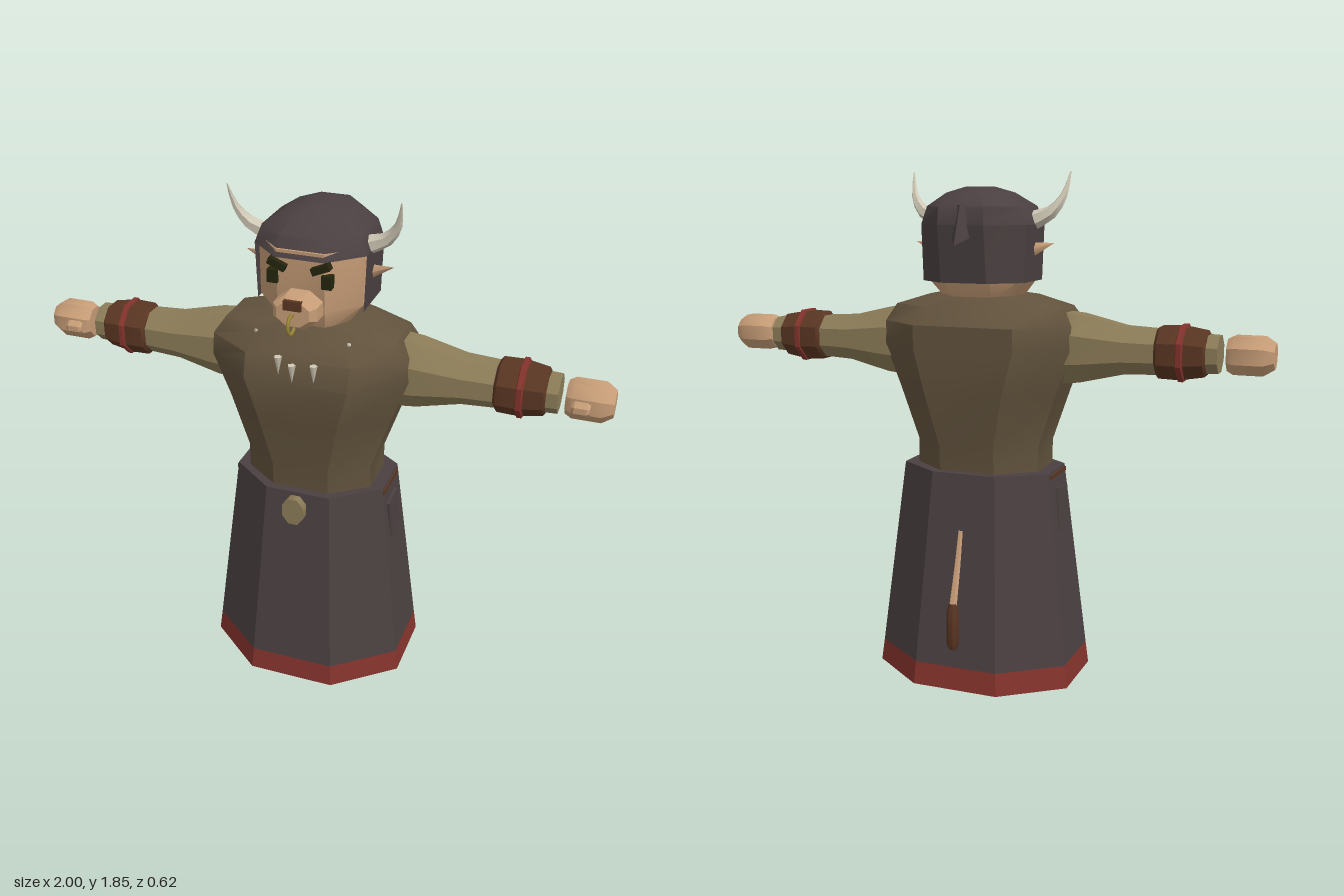
import * as THREE from 'three';
import { toCreasedNormals } from 'three/addons/utils/BufferGeometryUtils.js';

const mat = (name, color, side = THREE.FrontSide) => new THREE.MeshStandardMaterial({ name, color, side });

// Chamfered octagon at height y: half width, front z, back z, chamfer corners
const octagon = (y, hw, zf, zb, cx, cf, cb) => [
  [-cx, zf], [cx, zf], [hw, cf], [hw, cb], [cx, zb], [-cx, zb], [-hw, cb], [-hw, cf],
].map(([x, z]) => new THREE.Vector3(x, y, z));

// Regular ring of n points at height y
const ring = (y, rx, rz = rx, n = 8) => Array.from({ length: n }, (_, i) => {
  const a = ((i + 0.5) / n) * Math.PI * 2;
  return new THREE.Vector3(rx * Math.sin(a), y, rz * Math.cos(a));
});

// Skin a stack of rings; from/to limit the sides that are built
function loft(rings, { caps = true, from = 0, to = rings[0].length, crease = 0.6 } = {}) {
  const n = rings[0].length, p = [];
  const tri = (a, b, c) => p.push(...a.toArray(), ...b.toArray(), ...c.toArray());
  for (let k = 0; k < rings.length - 1; k++) {
    for (let i = from; i < to; i++) {
      const j = (i + 1) % n, r = rings[k], s = rings[k + 1];
      tri(r[i], r[j], s[j]);
      tri(r[i], s[j], s[i]);
    }
  }
  if (caps) {
    const lo = rings[0], hi = rings[rings.length - 1];
    for (let i = 1; i < n - 1; i++) {
      tri(lo[0], lo[i + 1], lo[i]);
      tri(hi[0], hi[i], hi[i + 1]);
    }
  }
  const g = new THREE.BufferGeometry();
  g.setAttribute('position', new THREE.Float32BufferAttribute(p, 3));
  g.computeVertexNormals();
  return toCreasedNormals(g, crease);
}

// Tapered tube along a curve
function taperedTube(points, radii, n = 6) {
  const curve = new THREE.CatmullRomCurve3(points.map((q) => new THREE.Vector3(...q)));
  const up = new THREE.Vector3(0, 1, 0), steps = 6;
  const rings = Array.from({ length: steps + 1 }, (_, k) => {
    const t = k / steps, r = THREE.MathUtils.lerp(radii[0], radii[1], t);
    const q = new THREE.Quaternion().setFromUnitVectors(up, curve.getTangent(t));
    return ring(0, r, r, n).map((v) => v.applyQuaternion(q).add(curve.getPoint(t)));
  });
  return loft(rings, { crease: 0.9 });
}

export function createModel() {
  const model = new THREE.Group();
  const cloth = mat('dark cloth', 0x4b4041, THREE.DoubleSide);
  const red = mat('red trim', 0x84332c, THREE.DoubleSide);
  const tunic = mat('brown tunic', 0x62533d);
  const sleeve = mat('khaki sleeve', 0x8c7c58);
  const skin = mat('tan skin', 0xc79d77);
  const leather = mat('brown leather', 0x5a3623);
  const ivory = mat('ivory', 0xcfc8b5);
  const dark = mat('dark olive', 0x25250f);
  const gold = mat('brass', 0x9a8638);

  const add = (parent, name, geo, material, pos = [0, 0, 0], rot = [0, 0, 0]) => {
    const m = new THREE.Mesh(geo, material);
    m.name = name;
    m.position.set(...pos);
    m.rotation.set(...rot);
    parent.add(m);
    return m;
  };

  // Robe skirt with red hem
  const hemTop = octagon(0.16, 0.35, 0.3, -0.27, 0.15, 0.136, -0.116);
  add(model, 'skirt', loft([
    octagon(0.08, 0.35, 0.302, -0.272, 0.148, 0.136, -0.116),
    octagon(0.16, 0.34, 0.292, -0.262, 0.144, 0.132, -0.112),
    hemTop,
    octagon(0.835, 0.27, 0.22, -0.19, 0.115, 0.1, -0.08),
  ]), cloth);
  add(model, 'skirtHem', loft([
    octagon(0.08, 0.36, 0.31, -0.28, 0.155, 0.14, -0.12), hemTop,
  ], { caps: false }), red);

  // Torso
  add(model, 'torso', loft([
    octagon(0.8, 0.225, 0.19, -0.16, 0.1, 0.1, -0.06),
    octagon(0.92, 0.225, 0.195, -0.165, 0.1, 0.1, -0.06),
    octagon(1.11, 0.29, 0.22, -0.2, 0.14, 0.1, -0.07),
    octagon(1.26, 0.345, 0.237, -0.2, 0.18, 0.11, -0.08),
    octagon(1.34, 0.34, 0.215, -0.2, 0.18, 0.11, -0.08),
    octagon(1.4, 0.3, 0.17, -0.155, 0.15, 0.09, -0.07),
    octagon(1.437, 0.18, 0.14, -0.11, 0.09, 0.07, -0.05),
  ]), tunic);

  // Belt buckle
  const buckle = add(model, 'buckle', new THREE.CylinderGeometry(0.054, 0.054, 0.03, 8), sleeve,
    [0, 0.785, 0.255], [Math.PI / 2, Math.PI / 8, 0]);
  buckle.geometry.rotateY(Math.PI / 8);
  buckle.rotation.y = 0;
  buckle.scale.set(0.78, 1, 1);

  // Tooth necklace
  [[-0.057, 1.322], [-0.01, 1.298], [0.065, 1.308]].forEach(([x, y]) =>
    add(model, 'necklaceTooth', new THREE.ConeGeometry(0.014, 0.065, 5), ivory, [x, y, 0.235], [Math.PI, 0, 0]));

  // Head and muzzle
  add(model, 'head', loft([
    octagon(1.42, 0.12, 0.135, -0.105, 0.07, 0.06, -0.05),
    octagon(1.5, 0.176, 0.17, -0.155, 0.08, 0.078, -0.09),
    octagon(1.7, 0.176, 0.18, -0.155, 0.08, 0.08, -0.09),
  ]), skin);
  const muzzle = loft([ring(0, 0.082, 0.062), ring(0.06, 0.08, 0.06), ring(0.08, 0.06, 0.045)]);
  add(model, 'muzzle', muzzle, skin, [0, 1.515, 0.165], [Math.PI / 2, 0, 0]);
  add(model, 'nose', new THREE.BoxGeometry(0.06, 0.032, 0.03), leather, [0, 1.545, 0.238]);
  add(model, 'noseRing', new THREE.TorusGeometry(0.032, 0.006, 6, 12), gold, [0, 1.485, 0.258], [0, Math.PI / 2, 0]);

  // Hood: dome, side and back drape, rear point
  const hoodRim = octagon(1.675, 0.19, 0.188, -0.21, 0.082, 0.086, -0.1);
  add(model, 'hoodDome', loft([
    hoodRim,
    octagon(1.735, 0.168, 0.152, -0.205, 0.08, 0.075, -0.1),
    octagon(1.78, 0.1, 0.09, -0.16, 0.05, 0.04, -0.09),
    octagon(1.8, 0.04, 0.02, -0.09, 0.02, 0, -0.06),
  ], { crease: 0.75 }), cloth);
  add(model, 'hoodDrape', loft([
    octagon(1.485, 0.183, 0.18, -0.185, 0.082, 0.086, -0.1), hoodRim,
  ], { caps: false, from: 2, to: 7 }), cloth);
  const tri = (y, w, z0, z1) => [[-w, z0], [w, z0], [0, z1]].map(([x, z]) => new THREE.Vector3(x, y, z));
  add(model, 'hoodPoint', loft([
    tri(1.61, 0.002, -0.255, -0.262), tri(1.64, 0.04, -0.19, -0.252), tri(1.74, 0.03, -0.19, -0.212),
  ]), cloth);

  // Tail with tuft
  add(model, 'tail', taperedTube([[0, 0.64, -0.215], [0, 0.52, -0.245], [0, 0.39, -0.285]], [0.008, 0.014]), skin);
  add(model, 'tailTuft', loft([
    ring(0.235, 0.012), ring(0.255, 0.021), ring(0.37, 0.021), ring(0.4, 0.013),
  ]), leather, [0, 0, -0.288]);

  // Mirrored parts, built on +x
  for (const s of [1, -1]) {
    const side = new THREE.Group();
    side.name = s > 0 ? 'leftSide' : 'rightSide';
    side.scale.x = s;
    model.add(side);

    // Arm, turned so its length runs along x
    const arm = new THREE.Group();
    arm.name = 'arm';
    arm.position.set(0, 1.265, 0.008);
    arm.rotation.z = -Math.PI / 2;
    side.add(arm);
    add(arm, 'sleeve', loft([
      ring(0.25, 0.1, 0.08), ring(0.29, 0.132, 0.1), ring(0.36, 0.124, 0.098), ring(0.51, 0.086, 0.086),
      ring(0.62, 0.08), ring(0.775, 0.068), ring(0.825, 0.066),
    ]), sleeve);
    add(arm, 'bracer', loft([
      ring(0.62, 0.08), ring(0.63, 0.092), ring(0.7, 0.094), ring(0.78, 0.08), ring(0.787, 0.07),
    ]), leather);
    add(arm, 'bracerBand', loft([
      ring(0.692, 0.09), ring(0.697, 0.1), ring(0.713, 0.1), ring(0.718, 0.09),
    ]), red);
    add(arm, 'hand', loft([
      ring(0.848, 0.056, 0.05), ring(0.87, 0.068, 0.064), ring(0.965, 0.068, 0.064), ring(1, 0.045, 0.042),
    ]), skin, [0, 0, 0.012]);
    add(arm, 'thumb', loft([
      ring(0.87, 0.018), ring(0.88, 0.026), ring(0.92, 0.026), ring(0.93, 0.018),
    ]), skin, [0.005, 0, 0.068]);

    // Horn and ear
    add(side, 'horn', taperedTube(
      [[0.165, 1.685, 0.015], [0.235, 1.715, 0.02], [0.275, 1.77, 0.035], [0.29, 1.85, 0.062]], [0.034, 0.002]), ivory);
    const ear = add(side, 'ear', new THREE.ConeGeometry(0.027, 0.09, 4), skin, [0.212, 1.602, 0], [0, 0, -1.3]);
    ear.scale.z = 0.7;

    // Eye and slanted brow
    add(side, 'eye', new THREE.BoxGeometry(0.034, 0.044, 0.03), dark, [0.091, 1.61, 0.175]);
    add(side, 'brow', new THREE.BoxGeometry(0.062, 0.024, 0.03), dark, [0.073, 1.654, 0.183], [0, 0, 0.4]);

    // Collar spikes
    add(side, 'collarSpike', new THREE.ConeGeometry(0.011, 0.03, 5), ivory, [0.16, 1.402, 0.168], [0.9, 0, 0]);

    // Hip strap and flap
    add(side, 'hipStrap', new THREE.BoxGeometry(0.012, 0.014, 0.17), leather, [0.27, 0.818, 0.015]);
    add(side, 'hipFlap', new THREE.BoxGeometry(0.012, 0.15, 0.1), cloth, [0.288, 0.693, 0.02], [0.1, 0, 0.06]);

    // Boot
    add(side, 'boot', loft([
      ring(0, 0.05, 0.066), ring(0.015, 0.06, 0.075), ring(0.06, 0.06, 0.075), ring(0.14, 0.05, 0.06),
    ]), dark, [0.163, 0, 0.05]);
  }
  return model;
}
